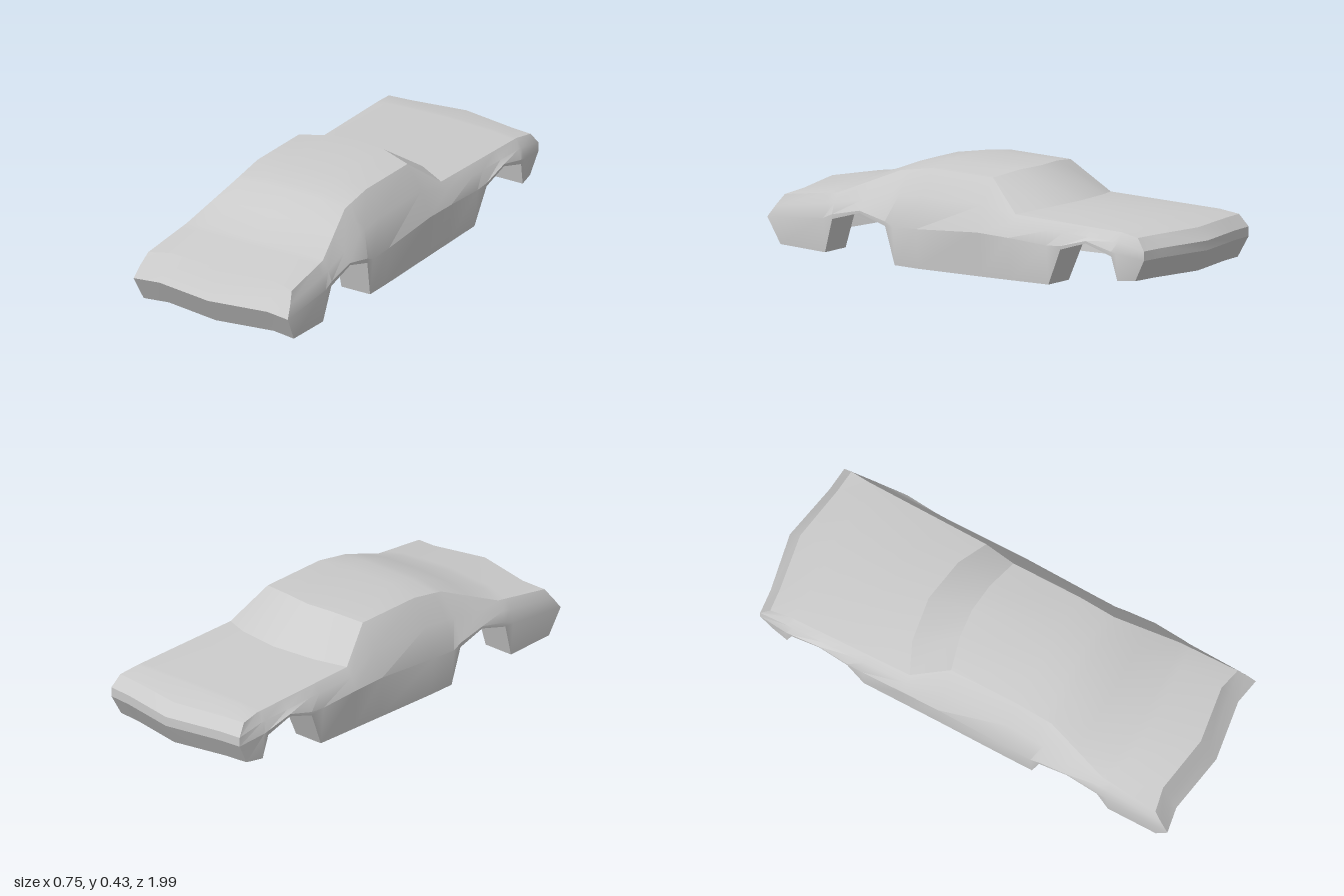
import * as THREE from 'three';
import { toCreasedNormals } from 'three/addons/utils/BufferGeometryUtils.js';

const material = new THREE.MeshStandardMaterial({ color: 0xcccccc, side: THREE.DoubleSide });

// Body stations front to back: z, lower edge height (with wheel arches), belt height
const stations = [
  [0.90, 0.03, 0.14], [0.685, 0.02, 0.165], [0.64, 0.165, 0.185], [0.50, 0.205, 0.215],
  [0.37, 0.165, 0.185], [0.33, 0.005, 0.165], [0.21, 0.003, 0.17], [-0.10, 0.005, 0.19],
  [-0.26, 0.007, 0.185], [-0.455, 0.01, 0.175], [-0.525, 0.165, 0.18], [-0.655, 0.205, 0.215],
  [-0.785, 0.165, 0.185], [-0.81, 0.065, 0.18], [-0.90, 0.07, 0.16],
];

// Shoulder line: z, x, y, then waist x, y
const shoulder = [
  [0.90, 0.35, 0.237, 0.365, 0.19], [0.64, 0.333, 0.27, 0.36, 0.23], [0.37, 0.265, 0.382, 0.337, 0.285],
  [0.21, 0.265, 0.408, 0.333, 0.30], [-0.10, 0.265, 0.402, 0.333, 0.30], [-0.26, 0.325, 0.276, 0.352, 0.24],
  [-0.81, 0.335, 0.263, 0.36, 0.225], [-0.90, 0.345, 0.25, 0.358, 0.20],
];

// Crown of the top: z, mid x fraction, mid rise, mid z shift, centre rise, centre z shift
const crown = [
  [0.90, 0.71, 0.013, -0.02, 0.025, 0.02], [0.64, 0.7, 0.018, 0.018, 0.025, 0.03],
  [0.37, 0.48, 0.018, 0.006, 0.018, 0.008], [0.21, 0.48, 0.02, 0, 0.02, 0],
  [-0.10, 0.48, 0.018, -0.035, 0.018, -0.048], [-0.26, 0.6, 0.014, -0.06, 0.02, -0.09],
  [-0.81, 0.7, 0.008, -0.005, 0.012, -0.01], [-0.90, 0.71, 0, -0.01, 0, -0.05],
];

// Linear lookup in a table ordered by falling z
function lookup(table, z) {
  let i = 0;
  while (i < table.length - 2 && z < table[i + 1][0]) i++;
  const t = (z - table[i][0]) / (table[i + 1][0] - table[i][0]);
  return table[i].map((v, k) => v + (table[i + 1][k] - v) * t);
}

// Half section on the +x side: centre, mid, shoulder, waist, belt, lower edge
function halfSection([z, lowY, beltY], i) {
  const [, sx, sy, wx, wy] = lookup(shoulder, z);
  const [, mf, my, mz, cy, cz] = lookup(crown, z);
  const front = i === 0, rear = i === stations.length - 1;
  const shift = front ? [0.035, 0.07, 0.01] : rear ? [-0.04, -0.04, 0.01] : [0, 0, 0];
  const bx = rear ? 0.358 : 0.376;
  return [
    [0, sy + cy, z + cz],
    [sx * mf, sy + my, z + mz],
    [sx, sy, z],
    [wx, wy, z + shift[0]],
    [bx, beltY, z + shift[1]],
    [bx - (beltY - lowY) * 0.09, lowY, z + shift[2]],
  ];
}

const mirror = ([x, y, z]) => [-x, y, z];
const fullRow = (half) => [...half.slice(1).reverse().map(mirror), ...half];

// Surface through rows of points
function surface(name, rows, flip = false) {
  const n = rows[0].length, index = [];
  for (let i = 0; i < rows.length - 1; i++) {
    for (let j = 0; j < n - 1; j++) {
      const a = i * n + j, b = a + n, c = a + 1, d = b + 1;
      index.push(...(flip ? [a, b, c, c, b, d] : [a, c, b, c, d, b]));
    }
  }
  const geometry = new THREE.BufferGeometry();
  geometry.setAttribute('position', new THREE.Float32BufferAttribute(rows.flat(2), 3));
  geometry.setIndex(index);
  const mesh = new THREE.Mesh(toCreasedNormals(geometry, 0.45), material);
  mesh.name = name;
  return mesh;
}

// End panel spanning the car between the side edges of an end section
function endPanel(name, half, midShift, centreShift, flip) {
  const rows = half.slice(2).map(([x, y, z], r) => fullRow([
    r === 0 ? half[0] : [0, y, z + centreShift],
    r === 0 ? half[1] : [x * 0.7, y, z + midShift],
    [x, y, z],
  ]));
  return surface(name, rows, flip);
}

export function createModel() {
  const car = new THREE.Group();
  car.name = 'carBody';
  const halves = stations.map(halfSection);

  // Hood, cabin, deck and sides in one skin
  car.add(surface('bodyShell', halves.map(fullRow)));

  // Nose and tail
  car.add(endPanel('nosePanel', halves[0], -0.02, 0.022, true));
  car.add(endPanel('tailPanel', halves[halves.length - 1], -0.01, -0.058, false));

  // Wheel arch liners, open towards the inside
  for (const [name, from, to] of [['front', 1, 5], ['rear', 9, 13]]) {
    for (const side of [1, -1]) {
      const rows = halves.slice(from, to + 1).map((h) => {
        const [x, y, z] = h[5];
        return [[side * 0.222, y, z], [side * x, y, z]];
      });
      car.add(surface(`${name}${side > 0 ? 'Left' : 'Right'}ArchLiner`, rows, side > 0));
    }
  }
  return car;
}
